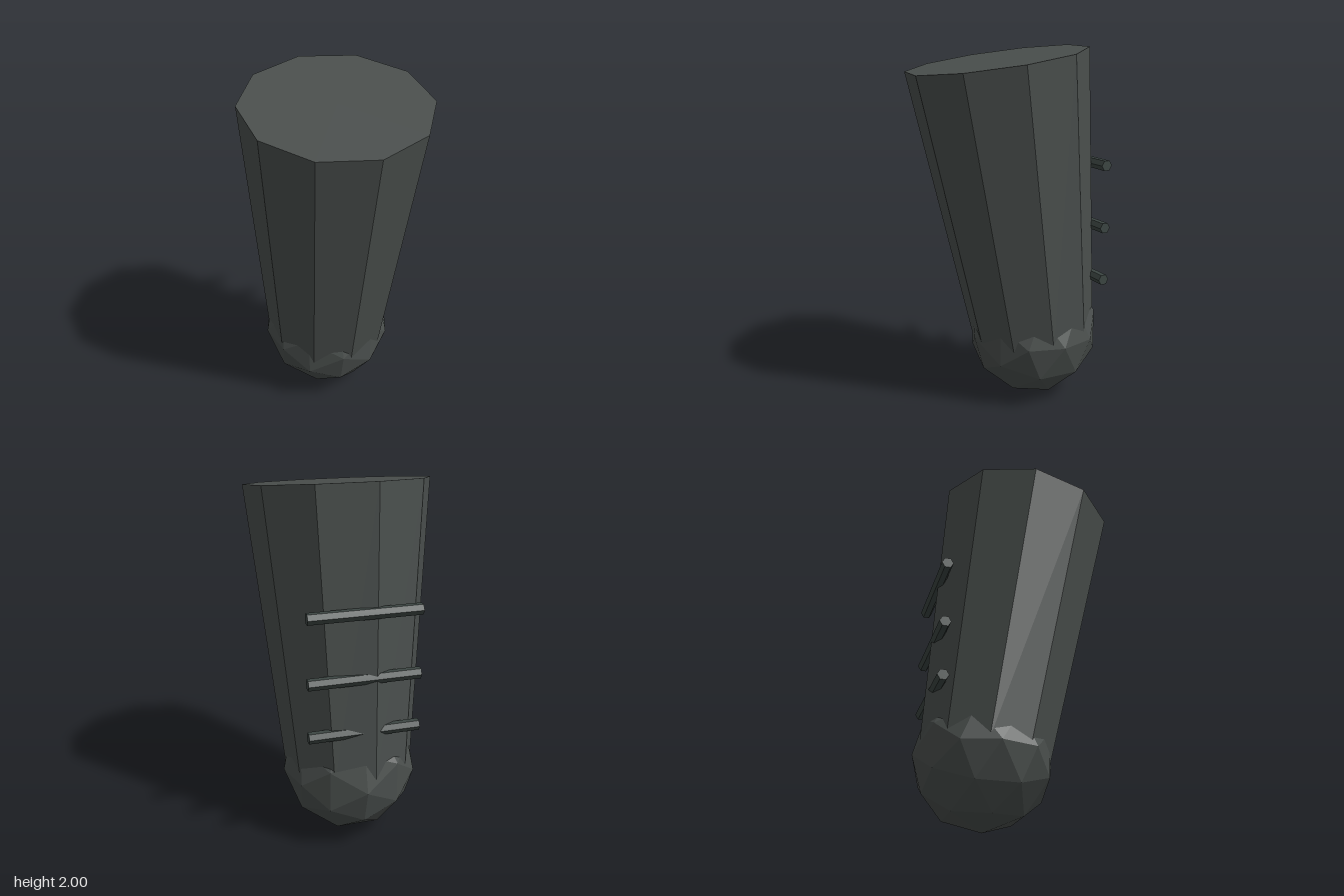
import * as THREE from 'three';

export function createModel() {
  const group = new THREE.Group();
  const bodyMaterial = new THREE.MeshStandardMaterial({ color: 0x4a4f4d, flatShading: true });
  const barMaterial = new THREE.MeshStandardMaterial({ color: 0x3c4643, flatShading: true });

  const add = (name, geometry, material, x, y, z) => {
    const mesh = new THREE.Mesh(geometry, material);
    mesh.name = name;
    mesh.position.set(x, y, z);
    group.add(mesh);
    return mesh;
  };

  // Faceted ball at the base
  const ballY = 0.376, ballZ = -0.168;
  add('baseBall', new THREE.IcosahedronGeometry(0.376, 1), bodyMaterial, 0, ballY, ballZ);

  // Ten-sided column, widening upward and leaning forward out of the ball
  const tilt = 0.148, length = 1.568;
  const columnGeometry = new THREE.CylinderGeometry(0.497, 0.356, length, 10);
  columnGeometry.translate(0, length / 2, 0);
  const column = add('column', columnGeometry, bodyMaterial, 0, ballY, ballZ);
  column.rotation.set(tilt, 0.15, 0);

  // Three hexagonal crossbars set into the back
  for (const y of [0.71, 1.01, 1.36]) {
    const bar = add('crossbar', new THREE.CylinderGeometry(0.0315, 0.0315, 0.6, 6), barMaterial, 0, y, -0.457);
    bar.rotation.z = Math.PI / 2;
  }

  return group;
}
